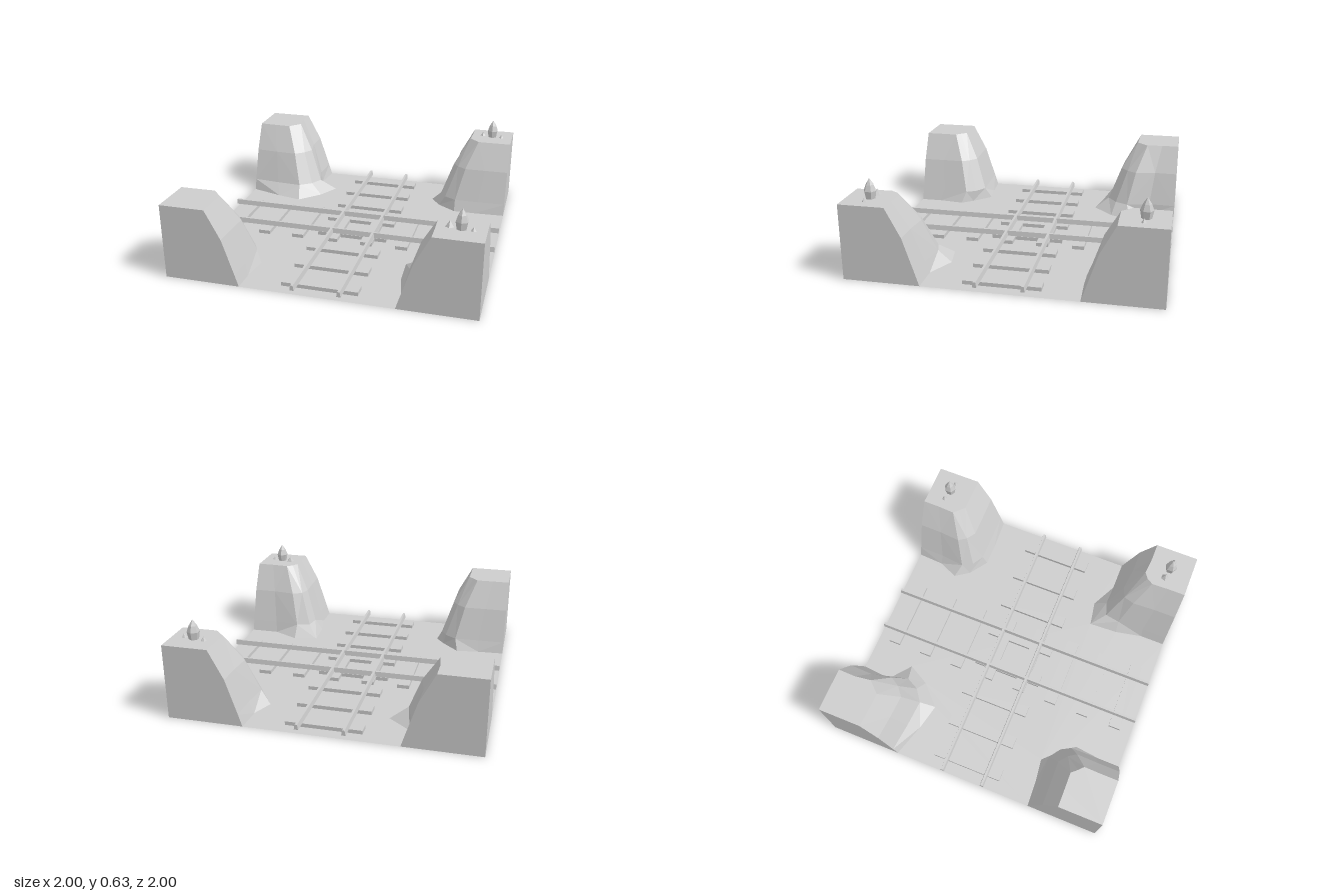
import * as THREE from 'three';

const stone = new THREE.MeshStandardMaterial({ color: 0xcccccc, flatShading: true, side: THREE.DoubleSide });
stone.name = 'stone grey';

// Foot of each cliff as [x, z] distances from the centre, round its inner corner
const cliffs = [
  { name: 'frontLeftCliff', sx: 1, sz: 1, foot: [[.5, .83], [.46, .64], [.45, .44], [.62, .41], [.8, .5]] },
  { name: 'backLeftCliff', sx: 1, sz: -1, foot: [[.49, .82], [.43, .68], [.5, .58], [.63, .49], [.78, .49]] },
  { name: 'backRightCliff', sx: -1, sz: -1, foot: [[.52, .8], [.37, .68], [.45, .53], [.59, .39], [.77, .43]] },
  { name: 'frontRightCliff', sx: -1, sz: 1, foot: [[.5, .85], [.48, .67], [.54, .59], [.66, .47], [.82, .49]] },
];

// Slope levels: height, inset of the slope, and how much of the foot's irregularity remains
const levels = [
  { y: 0, inset: 0.5, keep: 1 },
  { y: 0.08, inset: 0.525, keep: 0.3 },
  { y: 0.31, inset: 0.6, keep: 0.2 },
  { y: 0.5, inset: 0.7, keep: 0.1 },
];

// Regular L-shaped ring with a blunt corner, seven points
function regularRing(s) {
  const w = 1 - s, c = s + 0.03;
  return [[s, 1], [s, s + 0.6 * w], [s, s + 0.2 * w], [c, c], [s + 0.2 * w, s], [s + 0.6 * w, s], [1, s]];
}

function footRing(foot) {
  return [[0.5, 1], ...foot, [1, 0.5]];
}

// Cliff slopes, flat top and the two straight outer walls; open underneath
function cliffGeometry({ sx, sz, foot }) {
  const pos = [];
  const tri = (a, b, c) => {
    const order = sx * sz > 0 ? [a, b, c] : [a, c, b];
    for (const p of order) pos.push(p[0] * sx, p[1], p[2] * sz);
  };
  const base = regularRing(0.5);
  const shift = footRing(foot).map(([x, z], j) => [x - base[j][0], z - base[j][1]]);
  const grid = levels.map(({ y, inset, keep }) => regularRing(inset)
    .map(([x, z], j) => [x + shift[j][0] * keep, y, z + shift[j][1] * keep]));
  const last = base.length - 1;
  for (let i = 0; i < grid.length - 1; i++) {
    for (let j = 0; j < last; j++) {
      const a = grid[i][j], b = grid[i][j + 1], c = grid[i + 1][j + 1], d = grid[i + 1][j];
      if ((i + j) % 2) { tri(a, d, c); tri(a, c, b); }
      else { tri(a, d, b); tri(d, c, b); }
    }
  }
  const bottom = [1, 0, 1], peak = [1, 0.5, 1], rim = grid[grid.length - 1];
  for (let j = 0; j < last; j++) tri(peak, rim[j + 1], rim[j]);
  const wallZ = [...grid.map(r => r[0]), peak];
  const wallX = [...grid.map(r => r[last]), peak];
  for (let i = 0; i < wallZ.length - 1; i++) {
    tri(bottom, wallZ[i + 1], wallZ[i]);
    tri(bottom, wallX[i], wallX[i + 1]);
  }
  const g = new THREE.BufferGeometry();
  g.setAttribute('position', new THREE.Float32BufferAttribute(pos, 3));
  g.computeVertexNormals();
  return g;
}

// Flat ground bounded by the feet of the four cliffs
function groundGeometry() {
  const outline = cliffs.flatMap(({ sx, sz, foot }) => {
    const edge = footRing(foot).map(([x, z]) => new THREE.Vector2(x * sx, -z * sz));
    return sx * sz > 0 ? edge : edge.reverse();
  });
  return new THREE.ShapeGeometry(new THREE.Shape(outline)).rotateX(-Math.PI / 2);
}

function add(parent, name, geometry, x = 0, y = 0, z = 0) {
  const mesh = new THREE.Mesh(geometry, stone);
  mesh.name = name;
  mesh.position.set(x, y, z);
  parent.add(mesh);
  return mesh;
}

// One straight track along z
function makeTrack(name) {
  const track = new THREE.Group();
  track.name = name;
  const sleeper = new THREE.BoxGeometry(0.5, 0.025, 0.084);
  for (let i = 0; i < 8; i++) add(track, 'sleeper', sleeper, 0, 0.0125, -0.875 + i * 0.25);
  const profile = new THREE.Shape([[-.014, 0], [.014, 0], [.008, .035], [-.008, .035]]
    .map(p => new THREE.Vector2(...p)));
  const rail = new THREE.ExtrudeGeometry(profile, { depth: 2, bevelEnabled: false }).translate(0, 0, -1);
  for (const x of [-0.15, 0.15]) add(track, 'rail', rail, x, 0.025, 0);
  return track;
}

// Pointed bud with a small shoot on each side
function makePlant(z, shootSize) {
  const plant = new THREE.Group();
  plant.name = 'plant';
  plant.position.set(0.85, 0.5, z);
  const profile = [[.032, 0], [.041, .05], [.026, .09], [0, .13]].map(p => new THREE.Vector2(...p));
  add(plant, 'bud', new THREE.LatheGeometry(profile, 6));
  for (const [x, dz, size] of [[-0.072, -0.015, shootSize], [0.07, 0.01, 0.018]]) {
    const height = size * 1.4;
    add(plant, 'shoot', new THREE.ConeGeometry(size, height, 5), x, height / 2, dz);
  }
  return plant;
}

export function createModel() {
  const model = new THREE.Group();
  model.name = 'railwayCrossing';
  add(model, 'ground', groundGeometry());
  for (const cliff of cliffs) add(model, cliff.name, cliffGeometry(cliff));

  const crossTrack = makeTrack('crossTrack');
  crossTrack.rotation.y = Math.PI / 2;
  model.add(makeTrack('mainTrack'), crossTrack);

  model.add(makePlant(-0.855, 0.02), makePlant(0.845, 0.028));
  return model;
}
